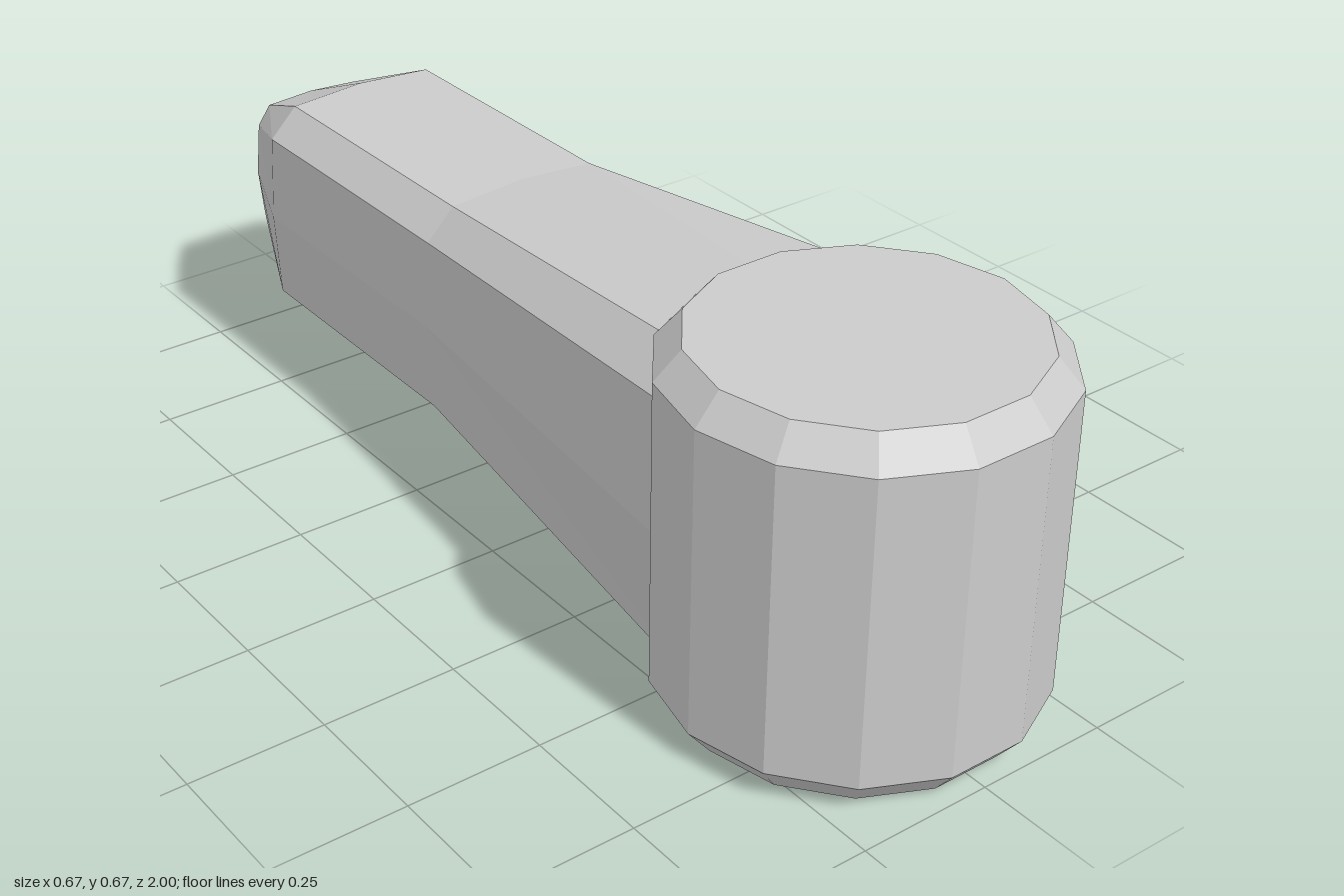
import * as THREE from 'three';

const MID_Y = 0.335;

// 12-sided section: bulged flats (side, top) with chamfered corners
function section([z, side, cornerX1, cornerY1, cornerX2, cornerY2, top]) {
  const quarter = [[side, 0], [cornerX1, cornerY1], [cornerX2, cornerY2], [0, top]];
  const half = [...quarter, ...quarter.slice(0, 3).reverse().map(([x, y]) => [-x, y])];
  const ring = [...half, ...half.slice(1, -1).reverse().map(([x, y]) => [x, -y])];
  return ring.map(([x, y]) => new THREE.Vector3(x, y + MID_Y, z));
}

// Join sections running from back to front, closing both ends
function loft(rings) {
  const points = [];
  const n = rings[0].length;
  for (let r = 0; r < rings.length - 1; r++) {
    for (let i = 0; i < n; i++) {
      const j = (i + 1) % n;
      const [a, b, c, d] = [rings[r][i], rings[r][j], rings[r + 1][j], rings[r + 1][i]];
      points.push(a, b, c, a, c, d);
    }
  }
  const back = rings[0], front = rings[rings.length - 1];
  for (let i = 1; i < n - 1; i++) {
    points.push(back[0], back[i + 1], back[i], front[0], front[i], front[i + 1]);
  }
  const geometry = new THREE.BufferGeometry().setFromPoints(points);
  geometry.computeVertexNormals();
  return geometry;
}

export function createModel() {
  const group = new THREE.Group();
  group.name = 'leverHandle';
  const material = new THREE.MeshStandardMaterial({ color: 0xcccccc, flatShading: true });

  // Upright 14-sided hub with chamfered rims
  const sides = 14;
  const profile = [[0, 0], [0.29, 0], [0.335, 0.055], [0.335, 0.617], [0.29, 0.67], [0, 0.67]]
    .map(([r, y]) => new THREE.Vector2(r, y));
  const hub = new THREE.Mesh(new THREE.LatheGeometry(profile, sides, Math.PI / sides), material);
  hub.position.z = 0.673;
  hub.name = 'hub';
  group.add(hub);

  // Lever arm: tapered tip, straight grip, then widening into the hub
  const arm = new THREE.Mesh(loft([
    [-1, 0.135, 0.125, 0.1, 0.098, 0.137, 0.143],
    [-0.8, 0.214, 0.205, 0.165, 0.15, 0.22, 0.23],
    [-0.25, 0.214, 0.205, 0.168, 0.15, 0.224, 0.235],
    [0.6, 0.3, 0.281, 0.238, 0.215, 0.306, 0.325],
  ].map(section)), material);
  arm.name = 'arm';
  group.add(arm);

  return group;
}
